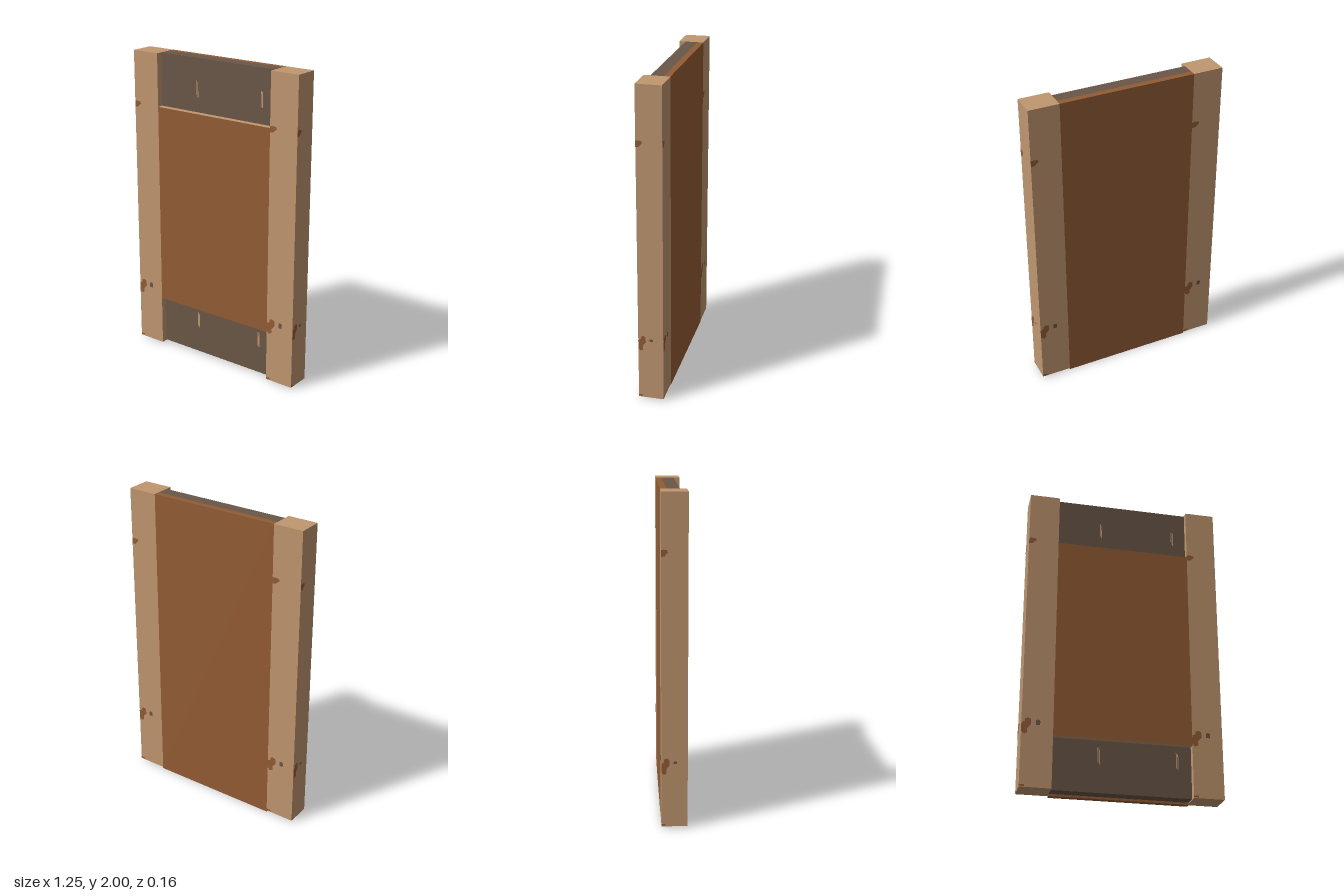
import * as THREE from 'three';

const mat = (name, color) => {
  const m = new THREE.MeshStandardMaterial({ color });
  m.name = name;
  return m;
};

export function createModel() {
  const tan = mat('paleWood', 0xc0966f);
  const brown = mat('brownWood', 0x935c35);
  const dark = mat('darkWood', 0x6a5747);

  const model = new THREE.Group();
  model.name = 'panelledDoor';

  // Box given by its minimum and maximum corners
  const box = (name, material, [x0, y0, z0], [x1, y1, z1], parent = model) => {
    const mesh = new THREE.Mesh(new THREE.BoxGeometry(x1 - x0, y1 - y0, z1 - z0), material);
    mesh.position.set((x0 + x1) / 2, (y0 + y1) / 2, (z0 + z1) / 2);
    mesh.name = name;
    parent.add(mesh);
    return mesh;
  };

  const inner = 0.43, outer = 0.622, depth = 0.078, back = -0.04, recess = 0.038;

  // Backing board and raised centre panel with pale top and bottom edges
  box('backBoard', brown, [-inner, 0, -depth], [inner, 2, back]);
  box('centrePanel', [brown, brown, tan, tan, brown, brown],
    [-inner, 0.34, back], [inner, 1.66, depth]);

  // Recessed dark panels, each with fine pale scratches
  const panels = [['lowerPanel', 0.014, 0.34, 0.19], ['upperPanel', 1.66, 2, 1.755]];
  for (const [name, y0, y1, scratchY] of panels) {
    box(name, dark, [-inner, y0, back], [inner, y1, recess]);
    for (const [x, rise] of [[-0.148, 0.012], [-0.139, 0], [0.337, 0.01], [0.346, 0.005]]) {
      box('scratch', tan, [x - 0.003, scratchY + rise, recess],
        [x + 0.003, scratchY + rise + 0.095, recess + 0.001]);
    }
  }

  // Knot outlines: u runs from the left edge of a face, v is height
  const knots = [
    ['upperKnot', brown, [[0, 1.635], [0.025, 1.637], [0.035, 1.65], [0.048, 1.658],
      [0.045, 1.672], [0.02, 1.676], [0, 1.673]]],
    ['lowerKnot', brown, [[0, 0.35], [0.018, 0.335], [0.038, 0.345], [0.035, 0.37],
      [0.058, 0.395], [0.058, 0.43], [0.04, 0.438], [0.02, 0.432], [0.02, 0.415], [0, 0.405]]],
    ['footMark', brown, [[0, 0.015], [0.03, 0.015], [0.03, 0.026], [0, 0.026]]],
    ['darkKnot', dark, [[0.088, 0.395], [0.112, 0.395], [0.114, 0.422], [0.1, 0.43], [0.088, 0.424]]],
  ];

  const postWidth = outer - inner;
  for (const side of [-1, 1]) {
    const post = new THREE.Group();
    post.name = side > 0 ? 'leftPost' : 'rightPost';
    post.position.x = side * (inner + outer) / 2;
    model.add(post);
    box('post', tan, [-postWidth / 2, 0.01, -depth], [postWidth / 2, 2, depth], post);

    // Knots on the front, outer side and back faces
    for (const turn of [0, side, 2]) {
      const isSide = turn === side;
      const width = isSide ? depth * 2 : postWidth;
      const offset = (isSide ? postWidth / 2 : depth) + 0.001;
      const face = new THREE.Group();
      face.name = 'knots';
      face.rotation.y = turn * Math.PI / 2;
      for (const [name, material, outline] of knots) {
        const scaleV = isSide && name === 'darkKnot' ? 0.5 : 1;
        const shape = new THREE.Shape(outline.map(([u, v]) => new THREE.Vector2(
          (u / postWidth - 0.5) * width, 0.41 + (v - 0.41) * scaleV)));
        const knot = new THREE.Mesh(new THREE.ShapeGeometry(shape), material);
        knot.position.z = offset;
        knot.name = name;
        face.add(knot);
      }
      post.add(face);
    }
  }
  return model;
}
